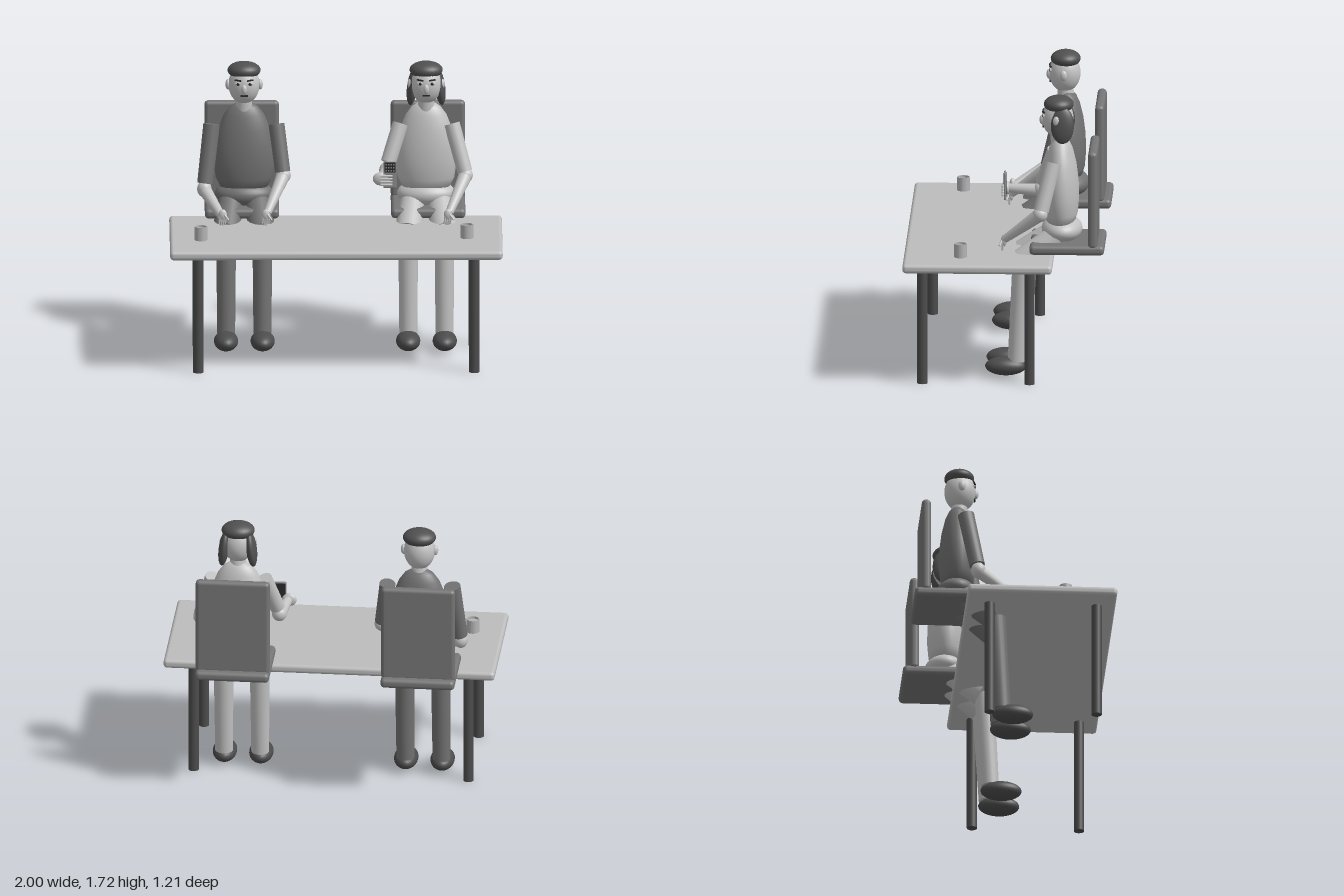
import * as THREE from 'three';
import { RoundedBoxGeometry } from 'three/addons/geometries/RoundedBoxGeometry.js';

const mat = (name, color) => {
  const m = new THREE.MeshStandardMaterial({ color });
  m.name = name;
  return m;
};

export function createModel() {
  const M = {
    table: mat('tableGrey', 0xbcbcbc),
    leg: mat('darkMetal', 0x4c4c4c),
    chair: mat('chairGrey', 0x757575),
    skin: mat('skin', 0xc4c4c4),
    hair: mat('hair', 0x505050),
    darkCloth: mat('darkCloth', 0x727272),
    lightCloth: mat('lightCloth', 0xc0c0c0),
    ink: mat('ink', 0x2a2a2a),
    cup: mat('cupGrey', 0xb4b4b4),
    phone: mat('phoneGrey', 0x8c8c8c),
  };
  const root = new THREE.Group();
  root.name = 'twoPeopleAtTable';

  const add = (parent, name, geo, m, x = 0, y = 0, z = 0) => {
    const mesh = new THREE.Mesh(geo, m);
    mesh.name = name;
    mesh.position.set(x, y, z);
    parent.add(mesh);
    return mesh;
  };
  const blob = (parent, name, m, p, r) => {
    const mesh = add(parent, name, new THREE.SphereGeometry(1, 28, 20), m, ...p);
    mesh.scale.set(...r);
    return mesh;
  };
  // tapered cylinder from point a to point b
  const limb = (parent, name, m, a, b, ra, rb) => {
    const A = new THREE.Vector3(...a), B = new THREE.Vector3(...b);
    const d = B.clone().sub(A);
    const mesh = add(parent, name, new THREE.CylinderGeometry(rb, ra, d.length(), 24), m);
    mesh.position.copy(A).addScaledVector(d, 0.5);
    mesh.quaternion.setFromUnitVectors(new THREE.Vector3(0, 1, 0), d.normalize());
    return mesh;
  };

  // table
  const table = new THREE.Group();
  table.name = 'table';
  root.add(table);
  add(table, 'tableTop', new RoundedBoxGeometry(2, 0.055, 0.9, 4, 0.022), M.table, 0, 0.747, 0.15);
  for (const x of [-0.83, 0.83]) for (const z of [-0.16, 0.485])
    add(table, 'tableLeg', new THREE.CylinderGeometry(0.031, 0.031, 0.73, 24), M.leg, x, 0.365, z);

  // cups, hollow with a thin rim
  const cupProfile = [[0, 0], [0.038, 0], [0.038, 0.085], [0.034, 0.085], [0.034, 0.07], [0, 0.07]]
    .map(p => new THREE.Vector2(...p));
  for (const [x, z] of [[-0.813, 0.3], [0.787, 0.257]]) {
    const g = new THREE.LatheGeometry(cupProfile, 28).toNonIndexed();
    g.computeVertexNormals();
    add(root, 'cup', g, M.cup, x, 0.772, z);
  }

  // chairs
  for (const x of [-0.563, 0.557]) {
    const chair = new THREE.Group();
    chair.name = 'chair';
    chair.position.x = x;
    root.add(chair);
    add(chair, 'seat', new RoundedBoxGeometry(0.447, 0.06, 0.45, 4, 0.025), M.chair, 0, 0.814, -0.381);
    add(chair, 'backrest', new RoundedBoxGeometry(0.447, 0.6, 0.055, 4, 0.024), M.chair, 0, 1.125, -0.537);
  }

  const torsoProfile = [[0, 0.93], [0.14, 0.94], [0.17, 1.0], [0.184, 1.1], [0.178, 1.2], [0.157, 1.3],
    [0.122, 1.39], [0.085, 1.44], [0.045, 1.465], [0, 1.47]].map(p => new THREE.Vector2(...p));

  const lowHand = (p, x) => {
    blob(p, 'palm', M.skin, [x, 0.85, 0.0], [0.026, 0.036, 0.018]);
    for (let i = 0; i < 4; i++)
      limb(p, 'finger', M.skin, [x - 0.018 + i * 0.012, 0.84, 0.008],
        [x - 0.022 + i * 0.012, 0.785 + Math.abs(i - 1.5) * 0.008, 0.008], 0.007, 0.005);
    limb(p, 'thumb', M.skin, [x + 0.01, 0.855, 0.01], [x + 0.035, 0.825, 0.025], 0.008, 0.006);
  };

  const person = (name, x, top, bottom, shoulder) => {
    const p = new THREE.Group();
    p.name = name;
    p.position.x = x;
    root.add(p);
    add(p, 'torso', new THREE.LatheGeometry(torsoProfile, 36), top, 0, 0, -0.338).scale.z = 0.6;
    blob(p, 'hips', bottom, [0, 0.9, -0.345], [0.176, 0.08, 0.123]);
    limb(p, 'neck', M.skin, [0, 1.42, -0.33], [0, 1.51, -0.32], 0.052, 0.046);
    // head and face
    blob(p, 'head', M.skin, [0, 1.58, -0.32], [0.094, 0.118, 0.095]);
    blob(p, 'hairCap', M.hair, [0, 1.668, -0.325], [0.1, 0.052, 0.09]);
    blob(p, 'nose', M.skin, [0, 1.57, -0.226], [0.018, 0.03, 0.017]);
    add(p, 'mouth', new THREE.BoxGeometry(0.046, 0.009, 0.008), M.ink, 0, 1.53, -0.232);
    for (const s of [-1, 1]) {
      blob(p, 'ear', M.skin, [s * 0.096, 1.582, -0.315], [0.017, 0.032, 0.022]);
      blob(p, 'eye', M.skin, [s * 0.036, 1.603, -0.236], [0.02, 0.011, 0.008]);
      blob(p, 'pupil', M.ink, [s * 0.036, 1.603, -0.229], [0.009, 0.009, 0.004]);
      const brow = add(p, 'eyebrow', new THREE.BoxGeometry(0.04, 0.008, 0.008), M.ink, s * 0.037, 1.625, -0.235);
      brow.rotation.set(0, s * 0.3, s * 0.1);
      // legs
      limb(p, 'thigh', bottom, [s * 0.08, 0.865, -0.32], [s * 0.108, 0.713, -0.115], 0.075, 0.086);
      limb(p, 'shin', bottom, [s * 0.109, 0.7, -0.11], [s * 0.109, 0.1, -0.076], 0.06, 0.054);
      blob(p, 'shoe', M.leg, [s * 0.11, 0.067, -0.01], [0.073, 0.057, 0.124]);
    }
    // left arm resting toward the table
    limb(p, 'leftSleeve', top, [shoulder, 1.34, -0.297], [0.232, 1.06, -0.228], 0.048, 0.046);
    blob(p, 'leftElbow', M.skin, [0.236, 1.04, -0.222], [0.045, 0.045, 0.045]);
    limb(p, 'leftForearm', M.skin, [0.236, 1.04, -0.222], [0.137, 0.86, -0.005], 0.042, 0.024);
    lowHand(p, 0.13);
    return p;
  };

  // seated man with both hands lowered
  const man = person('man', -0.55, M.darkCloth, M.darkCloth, 0.195);
  limb(man, 'rightSleeve', M.darkCloth, [-0.195, 1.34, -0.297], [-0.235, 0.99, -0.232], 0.05, 0.047);
  blob(man, 'rightElbow', M.skin, [-0.239, 0.955, -0.225], [0.044, 0.05, 0.044]);
  limb(man, 'rightForearm', M.skin, [-0.238, 0.95, -0.225], [-0.132, 0.835, 0.0], 0.04, 0.024);
  lowHand(man, -0.13);

  // seated woman with long side hair, raising a phone
  const woman = person('woman', 0.545, M.lightCloth, M.lightCloth, 0.155);
  for (const s of [-1, 1])
    blob(woman, 'hairLock', M.hair, [s * 0.083, 1.555, -0.35], [0.032, 0.112, 0.07]).rotation.z = s * 0.12;
  limb(woman, 'rightSleeve', M.lightCloth, [-0.155, 1.34, -0.297], [-0.228, 1.12, -0.222], 0.048, 0.046);
  blob(woman, 'rightElbow', M.skin, [-0.238, 1.075, -0.21], [0.045, 0.048, 0.045]);
  limb(woman, 'rightForearm', M.skin, [-0.24, 1.068, -0.21], [-0.27, 1.073, -0.01], 0.04, 0.027);
  blob(woman, 'rightPalm', M.skin, [-0.278, 1.073, -0.004], [0.045, 0.04, 0.02]);
  for (let i = 0; i < 4; i++)
    limb(woman, 'rightFinger', M.skin, [-0.275, 1.042 + i * 0.018, 0.018], [-0.205, 1.042 + i * 0.018, 0.022], 0.009, 0.007);
  const phone = new THREE.Group();
  phone.name = 'phone';
  phone.position.set(-0.22, 1.102, 0.007);
  woman.add(phone);
  add(phone, 'phoneBody', new RoundedBoxGeometry(0.078, 0.165, 0.012, 3, 0.005), M.phone);
  add(phone, 'phoneScreen', new THREE.BoxGeometry(0.066, 0.145, 0.003), M.ink, 0, 0, -0.006);
  add(phone, 'phonePanel', new THREE.BoxGeometry(0.066, 0.062, 0.003), M.ink, 0, 0.045, 0.006);
  for (let i = 0; i < 12; i++)
    add(phone, 'phoneDot', new THREE.BoxGeometry(0.008, 0.009, 0.002), M.phone,
      -0.022 + (i % 4) * 0.015, 0.027 + Math.floor(i / 4) * 0.018, 0.0078);

  return root;
}
